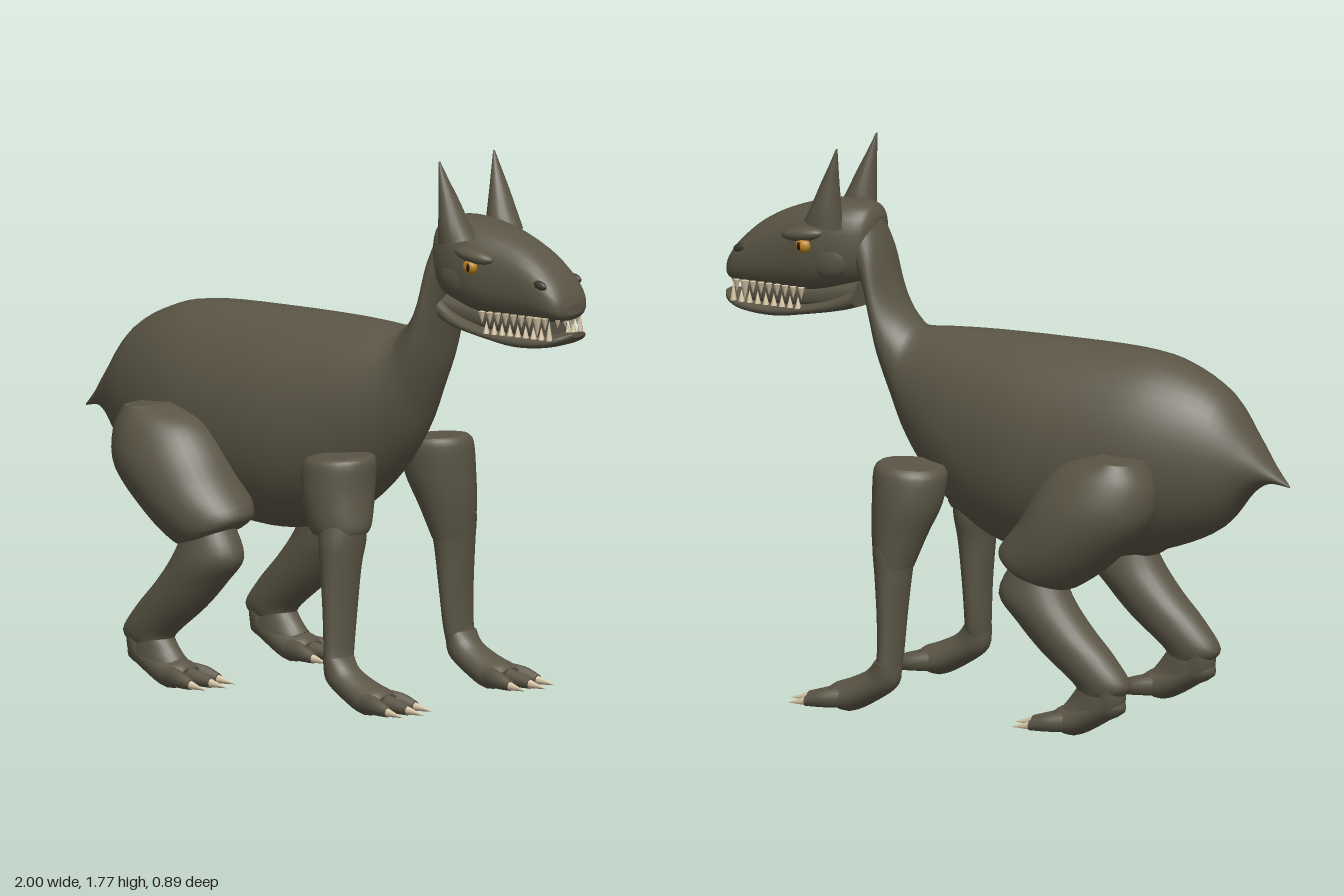
import * as THREE from 'three';

const mat = (name, color) => Object.assign(new THREE.MeshStandardMaterial({ color }), { name });
const skin = mat('olive skin', 0x5a5545);
const ivory = mat('ivory', 0xd6c4a4);
const amber = mat('amber eye', 0xb8801e);
const dark = mat('pupil black', 0x17130e);
const nose = mat('dark nostril', 0x3a372d);

// Smooth interpolation between four neighbouring values
const spline = (a, b, c, d, t) =>
  b + 0.5 * t * (c - a + t * (2 * a - 5 * b + 4 * c - d + t * (3 * (b - c) + d - a)));

// Skin over rings [x1, y1, x2, y2, zCentre, halfWidth]; power < 1 makes sections boxier
function loft(rings, { sub = 4, seg = 28, power = 1, side = 1 } = {}) {
  const rows = [];
  const n = rings.length - 1;
  const at = (i) => rings[Math.max(0, Math.min(n, i))];
  for (let i = 0; i < n; i++) {
    for (let s = 0; s < sub; s++) {
      rows.push(rings[i].map((_, k) => spline(at(i - 1)[k], at(i)[k], at(i + 1)[k], at(i + 2)[k], s / sub)));
    }
  }
  rows.push(rings[n]);
  const pos = [], idx = [];
  const bend = (v) => Math.sign(v) * Math.pow(Math.abs(v), power);
  const addRing = ([x1, y1, x2, y2, z, w]) => {
    const start = pos.length / 3;
    for (let j = 0; j < seg; j++) {
      const a = (j / seg) * Math.PI * 2;
      const c = bend(Math.cos(a)) / 2;
      pos.push((x1 + x2) / 2 + c * (x2 - x1), (y1 + y2) / 2 + c * (y2 - y1), side * z + w * bend(Math.sin(a)));
    }
    return start;
  };
  const starts = rows.map(addRing);
  for (let i = 0; i + 1 < starts.length; i++) {
    for (let j = 0; j < seg; j++) {
      const k = (j + 1) % seg, p = starts[i], q = starts[i + 1];
      idx.push(p + j, p + k, q + j, p + k, q + k, q + j);
    }
  }
  // Flat end caps on their own vertices
  [rows[0], rows[rows.length - 1]].forEach((r, end) => {
    const s = addRing(r), c = pos.length / 3;
    pos.push((r[0] + r[2]) / 2, (r[1] + r[3]) / 2, side * r[4]);
    for (let j = 0; j < seg; j++) {
      const k = (j + 1) % seg;
      if (end) idx.push(c, s + j, s + k); else idx.push(c, s + k, s + j);
    }
  });
  // Turn faces outward using the enclosed volume
  let volume = 0;
  const v = (i) => new THREE.Vector3().fromArray(pos, i * 3);
  for (let i = 0; i < idx.length; i += 3) volume += v(idx[i]).dot(v(idx[i + 1]).cross(v(idx[i + 2])));
  if (volume < 0) idx.reverse();
  const g = new THREE.BufferGeometry();
  g.setAttribute('position', new THREE.Float32BufferAttribute(pos, 3));
  g.setIndex(idx);
  g.computeVertexNormals();
  return g;
}

function add(group, name, geometry, material = skin) {
  const mesh = new THREE.Mesh(geometry, material);
  mesh.name = name;
  group.add(mesh);
  return mesh;
}

function ball(group, name, material, p, scale, tilt = 0) {
  const m = add(group, name, new THREE.SphereGeometry(1, 20, 14), material);
  m.position.set(...p);
  m.scale.set(...scale);
  m.rotation.z = tilt;
}

function spike(group, name, from, to, r) {
  const a = new THREE.Vector3(...from), d = new THREE.Vector3(...to).sub(a);
  const m = add(group, name, new THREE.ConeGeometry(r, d.length(), 8), ivory);
  m.position.copy(a).addScaledVector(d, 0.5);
  m.quaternion.setFromUnitVectors(new THREE.Vector3(0, 1, 0), d.normalize());
}

// Foot with three clawed toes
function addFoot(parent, name, dx, side) {
  const foot = new THREE.Group();
  foot.name = name;
  foot.position.set(dx, 0, side * 0.31);
  parent.add(foot);
  add(foot, 'paw', loft([
    [0.235, 0.17, 0.31, 0.18, 0, 0.062], [0.24, 0.1, 0.345, 0.14, 0, 0.06],
    [0.31, 0.045, 0.41, 0.108, 0, 0.066], [0.4, 0.003, 0.455, 0.092, 0, 0.072],
    [0.465, 0.025, 0.475, 0.075, 0, 0.055]]));
  for (const t of [-1, 0, 1]) {
    const z = t * 0.07, x = t ? 0.53 : 0.555;
    add(foot, 'toe', loft([
      [0.4, 0.02, 0.41, 0.085, z * 0.6, 0.028], [0.47, 0.018, 0.475, 0.075, z * 0.9, 0.025],
      [x, 0.018, x, 0.052, z, 0.017]], { seg: 12 }));
    spike(foot, 'claw', [x - 0.015, 0.036, z], [x + 0.065, 0.024, z * 1.06], 0.017);
  }
}

export function createModel() {
  const model = new THREE.Group();
  model.name = 'creature';

  // Torso from the pointed rump up the neck
  add(model, 'bodyAndNeck', loft([
    [-1, 0.803, -1, 0.808, 0, 0.003], [-0.93, 0.81, -0.94, 0.87, 0, 0.045],
    [-0.86, 0.765, -0.87, 0.965, 0, 0.095], [-0.76, 0.65, -0.77, 1.095, 0, 0.16],
    [-0.6, 0.575, -0.62, 1.175, 0, 0.22], [-0.4, 0.525, -0.46, 1.205, 0, 0.255],
    [-0.16, 0.505, -0.16, 1.212, 0, 0.26], [0.04, 0.55, 0.07, 1.212, 0, 0.225],
    [0.2, 0.66, 0.21, 1.207, 0, 0.185], [0.32, 0.81, 0.305, 1.203, 0, 0.145],
    [0.385, 0.95, 0.345, 1.23, 0, 0.128], [0.435, 1.08, 0.385, 1.28, 0, 0.122],
    [0.465, 1.2, 0.415, 1.35, 0, 0.116], [0.5, 1.32, 0.44, 1.46, 0, 0.108],
    [0.57, 1.42, 0.47, 1.55, 0, 0.09]], { seg: 40 }));

  // Head
  const head = new THREE.Group();
  head.name = 'head';
  model.add(head);
  add(head, 'skull', loft([
    [0.463, 1.42, 0.463, 1.54, 0, 0.05], [0.49, 1.34, 0.485, 1.577, 0, 0.098],
    [0.56, 1.31, 0.56, 1.588, 0, 0.128], [0.65, 1.285, 0.65, 1.577, 0, 0.135],
    [0.75, 1.278, 0.75, 1.55, 0, 0.12], [0.85, 1.28, 0.85, 1.503, 0, 0.108],
    [0.93, 1.285, 0.93, 1.437, 0, 0.097], [0.97, 1.295, 0.97, 1.383, 0, 0.076],
    [0.984, 1.312, 0.984, 1.345, 0, 0.04]], { power: 0.8 }));
  add(head, 'lowerJaw', loft([
    [0.508, 1.25, 0.505, 1.325, 0, 0.105], [0.57, 1.233, 0.57, 1.285, 0, 0.112],
    [0.68, 1.213, 0.68, 1.25, 0, 0.108], [0.8, 1.195, 0.8, 1.238, 0, 0.102],
    [0.91, 1.203, 0.91, 1.24, 0, 0.095], [0.97, 1.222, 0.97, 1.252, 0, 0.07],
    [0.997, 1.242, 0.997, 1.257, 0, 0.03]], { power: 0.7 }));
  add(head, 'mouthLining', loft([
    [0.51, 1.25, 0.51, 1.34, 0, 0.085], [0.7, 1.23, 0.7, 1.31, 0, 0.08],
    [0.9, 1.22, 0.9, 1.31, 0, 0.065]], { power: 0.7 }));

  for (const side of [1, -1]) {
    add(head, 'ear', loft([
      [0.54, 1.51, 0.665, 1.535, 0.118, 0.058], [0.543, 1.57, 0.64, 1.58, 0.122, 0.053],
      [0.545, 1.65, 0.605, 1.655, 0.128, 0.036], [0.544, 1.72, 0.572, 1.722, 0.134, 0.018],
      [0.543, 1.775, 0.548, 1.775, 0.138, 0.003]], { side, seg: 20 }));
    ball(head, 'brow', skin, [0.675, 1.485, side * 0.122], [0.075, 0.024, 0.034], -0.12);
    ball(head, 'cheek', skin, [0.6, 1.41, side * 0.1], [0.08, 0.07, 0.035]);
    ball(head, 'eye', amber, [0.667, 1.45, side * 0.133], [0.026, 0.024, 0.022]);
    ball(head, 'pupil', dark, [0.673, 1.451, side * 0.153], [0.006, 0.014, 0.004]);
    ball(head, 'nostril', nose, [0.912, 1.41, side * 0.088], [0.028, 0.015, 0.012], -0.2);
    // Side teeth
    for (let i = 0; i < 9; i++) {
      const x = 0.69 + i * 0.03, z = side * (0.103 - i * 0.0025);
      spike(head, 'upperTooth', [x, 1.305, z], [x, i === 7 ? 1.24 : 1.265, z], i === 7 ? 0.015 : 0.012);
      spike(head, 'lowerTooth', [x + 0.014, 1.235, z * 0.95], [x + 0.014, i === 8 ? 1.3 : 1.275, z * 0.95], 0.011);
    }
    // Front teeth
    for (const z of [0.02, 0.05]) {
      spike(head, 'frontTooth', [0.965 - z * 0.2, 1.3, side * z], [0.965 - z * 0.2, 1.272, side * z], 0.01);
    }
  }

  // Legs
  for (const side of [1, -1]) {
    const label = side > 0 ? 'near' : 'far';
    if (side > 0) {
      // Folded upper arm ending in a cuff
      add(model, label + 'UpperArm', loft([
        [0.12, 0.8, 0.325, 0.815, 0.24, 0.105], [0.105, 0.775, 0.342, 0.795, 0.245, 0.118],
        [0.108, 0.69, 0.34, 0.7, 0.25, 0.12], [0.135, 0.6, 0.347, 0.6, 0.265, 0.1],
        [0.16, 0.562, 0.34, 0.572, 0.27, 0.085]], { side }));
    } else {
      // Smooth upper arm running straight into the forearm
      add(model, label + 'UpperArm', loft([
        [0.12, 0.8, 0.325, 0.815, 0.245, 0.1], [0.105, 0.77, 0.342, 0.79, 0.25, 0.115],
        [0.12, 0.68, 0.342, 0.69, 0.26, 0.115], [0.165, 0.58, 0.338, 0.59, 0.272, 0.1],
        [0.205, 0.48, 0.323, 0.48, 0.285, 0.082]], { side }));
    }
    add(model, label + 'Forearm', loft([
      [0.185, 0.6, 0.335, 0.6, 0.275, 0.085], [0.2, 0.53, 0.33, 0.54, 0.28, 0.09],
      [0.21, 0.46, 0.32, 0.46, 0.288, 0.08], [0.225, 0.32, 0.308, 0.32, 0.294, 0.072],
      [0.232, 0.2, 0.305, 0.2, 0.302, 0.064], [0.236, 0.14, 0.312, 0.16, 0.31, 0.06]], { side }));
    addFoot(model, label + 'FrontFoot', 0, side);

    // Haunch, shin and hind foot
    add(model, label + 'Thigh', loft([
      [-0.605, 0.893, -0.46, 0.907, 0.26, 0.1], [-0.645, 0.81, -0.33, 0.865, 0.265, 0.14],
      [-0.625, 0.69, -0.25, 0.78, 0.265, 0.175], [-0.49, 0.55, -0.195, 0.685, 0.265, 0.175],
      [-0.385, 0.475, -0.125, 0.59, 0.285, 0.13], [-0.33, 0.47, -0.15, 0.545, 0.3, 0.09]], { side, seg: 36 }));
    add(model, label + 'Shin', loft([
      [-0.34, 0.52, -0.17, 0.54, 0.305, 0.08], [-0.385, 0.43, -0.13, 0.445, 0.31, 0.095],
      [-0.45, 0.345, -0.195, 0.36, 0.31, 0.092], [-0.53, 0.26, -0.28, 0.27, 0.31, 0.083],
      [-0.588, 0.175, -0.39, 0.18, 0.31, 0.07], [-0.545, 0.13, -0.41, 0.15, 0.31, 0.058]], { side }));
    add(model, label + 'Heel', loft([
      [-0.55, 0.15, -0.41, 0.165, 0.31, 0.06], [-0.568, 0.09, -0.38, 0.125, 0.31, 0.062],
      [-0.46, 0.04, -0.36, 0.1, 0.31, 0.06]], { side }));
    addFoot(model, label + 'HindFoot', -0.8, side);
  }
  return model;
}
